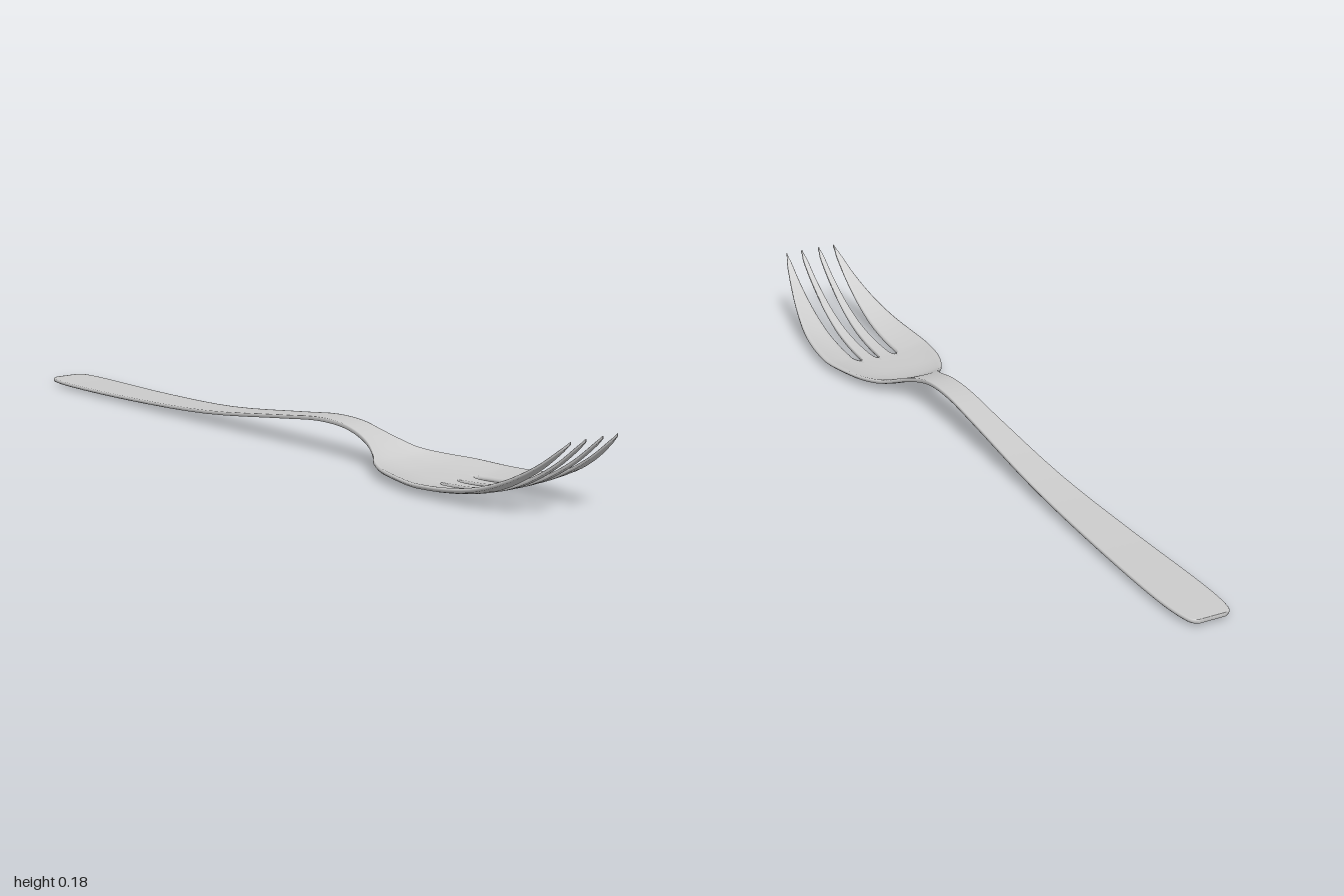
import * as THREE from 'three';
import { mergeVertices } from 'three/addons/utils/BufferGeometryUtils.js';

const { lerp, smoothstep, clamp } = THREE.MathUtils;
const SLOT_START = 0.58;

// Spine of the fork: x along the length, height of the middle, half width
const spine = new THREE.CatmullRomCurve3([
  [-1, 0.013, 0.034], [-0.99, 0.013, 0.048], [-0.96, 0.013, 0.056], [-0.88, 0.013, 0.061],
  [-0.6, 0.017, 0.054], [-0.3, 0.031, 0.043], [0, 0.066, 0.034], [0.13, 0.081, 0.032],
  [0.22, 0.08, 0.032], [0.28, 0.068, 0.035], [0.33, 0.051, 0.047], [0.37, 0.033, 0.067],
  [0.4, 0.022, 0.09], [0.45, 0.013, 0.115], [0.5, 0.009, 0.13], [SLOT_START, 0.006, 0.143],
  [0.61, 0.0065, 0.144], [0.68, 0.012, 0.14], [0.76, 0.028, 0.13], [0.84, 0.06, 0.114],
  [0.92, 0.108, 0.095], [0.98, 0.156, 0.079], [1, 0.174, 0.073],
].map((p) => new THREE.Vector3(...p)));

// Edges of the four tines across the width; closed up behind the slots
function tineEdges(x, w) {
  let c = 0, inner = 0.35 * w, outer = inner;
  if (x > SLOT_START + 1e-6) {
    const open = Math.sqrt(clamp((x - SLOT_START) / 0.03, 0, 1));
    const f = (x - SLOT_START) / (1 - SLOT_START);
    c = 0.007 * open + 0.012 * f;
    inner = 0.05 - 0.008 * open - 0.011 * f;
    outer = 0.05 + 0.011 * open + 0.005 * f;
  }
  const round = 0.7 * smoothstep(x, 0.975, 1); // rounded tips
  return [[-w, -outer], [-inner, -c], [c, inner], [outer, w]].map(([a, b]) => {
    const m = (a + b) / 2;
    return round > 0 ? [lerp(a, m, round), lerp(b, m, round)] : [a, b];
  });
}

function forkGeometry() {
  const across = [0, 0.06, 0.2, 0.4, 0.6, 0.8, 0.94, 1];
  const cols = across.length;
  const steps = 4 * (spine.points.length - 1);
  const pos = [], index = [], xs = [];

  // Each row holds four strips of paired top and bottom points
  for (let i = 0; i <= steps; i++) {
    const { x, y, z: w } = spine.getPoint(i / steps);
    xs.push(x);
    const dish = 0.017 * smoothstep(x, 0.27, 0.52) * (1 - smoothstep(x, 0.62, 1));
    const half = lerp(0.0045, 0.0055, smoothstep(x, 0, 0.4)) * (1 - 0.4 * smoothstep(x, 0.7, 1));
    const slotEdge = 1 - 0.5 * clamp((x - SLOT_START) / 0.03, 0, 1);
    tineEdges(x, w).forEach(([a, b], k) => {
      across.forEach((u, j) => {
        const z = lerp(a, b, u);
        const rim = (k === 0 && j === 0) || (k === 3 && j === cols - 1);
        const side = j === 0 || j === cols - 1;
        const t = half * (rim ? 0.45 : side ? slotEdge : 1);
        const mid = y + dish * Math.pow(Math.min(1, Math.abs(z) / w), 2.6);
        pos.push(x, mid + t, z, x, mid - t, z);
      });
    });
  }

  const top = (i, k, j) => 2 * ((i * 4 + k) * cols + j);
  const bottom = (i, k, j) => top(i, k, j) + 1;
  const quad = (a, b, c, d) => index.push(a, b, c, a, c, d);
  const L = cols - 1;
  for (let k = 0; k < 4; k++) {
    for (let i = 0; i < steps; i++) {
      // upper and lower faces
      for (let j = 0; j < L; j++) {
        quad(top(i, k, j), top(i, k, j + 1), top(i + 1, k, j + 1), top(i + 1, k, j));
        quad(bottom(i, k, j), bottom(i + 1, k, j), bottom(i + 1, k, j + 1), bottom(i, k, j + 1));
      }
      // side walls, inside the slots only where they are open
      const open = xs[i] > SLOT_START - 1e-4;
      if (k === 3 || open) quad(bottom(i, k, L), bottom(i + 1, k, L), top(i + 1, k, L), top(i, k, L));
      if (k === 0 || open) quad(bottom(i, k, 0), top(i, k, 0), top(i + 1, k, 0), bottom(i + 1, k, 0));
    }
    // handle end and tine tips
    for (let j = 0; j < L; j++) {
      quad(bottom(0, k, j), bottom(0, k, j + 1), top(0, k, j + 1), top(0, k, j));
      quad(bottom(steps, k, j), top(steps, k, j), top(steps, k, j + 1), bottom(steps, k, j + 1));
    }
  }

  const geometry = new THREE.BufferGeometry();
  geometry.setAttribute('position', new THREE.Float32BufferAttribute(pos, 3));
  geometry.setIndex(index);
  const welded = mergeVertices(geometry, 1e-5);
  welded.computeVertexNormals();
  return welded;
}

export function createModel() {
  const group = new THREE.Group();
  group.name = 'fork';
  const material = new THREE.MeshStandardMaterial({ color: 0xcccccc });
  const body = new THREE.Mesh(forkGeometry(), material);
  body.name = 'handleBowlAndTines';
  group.add(body);
  return group;
}
